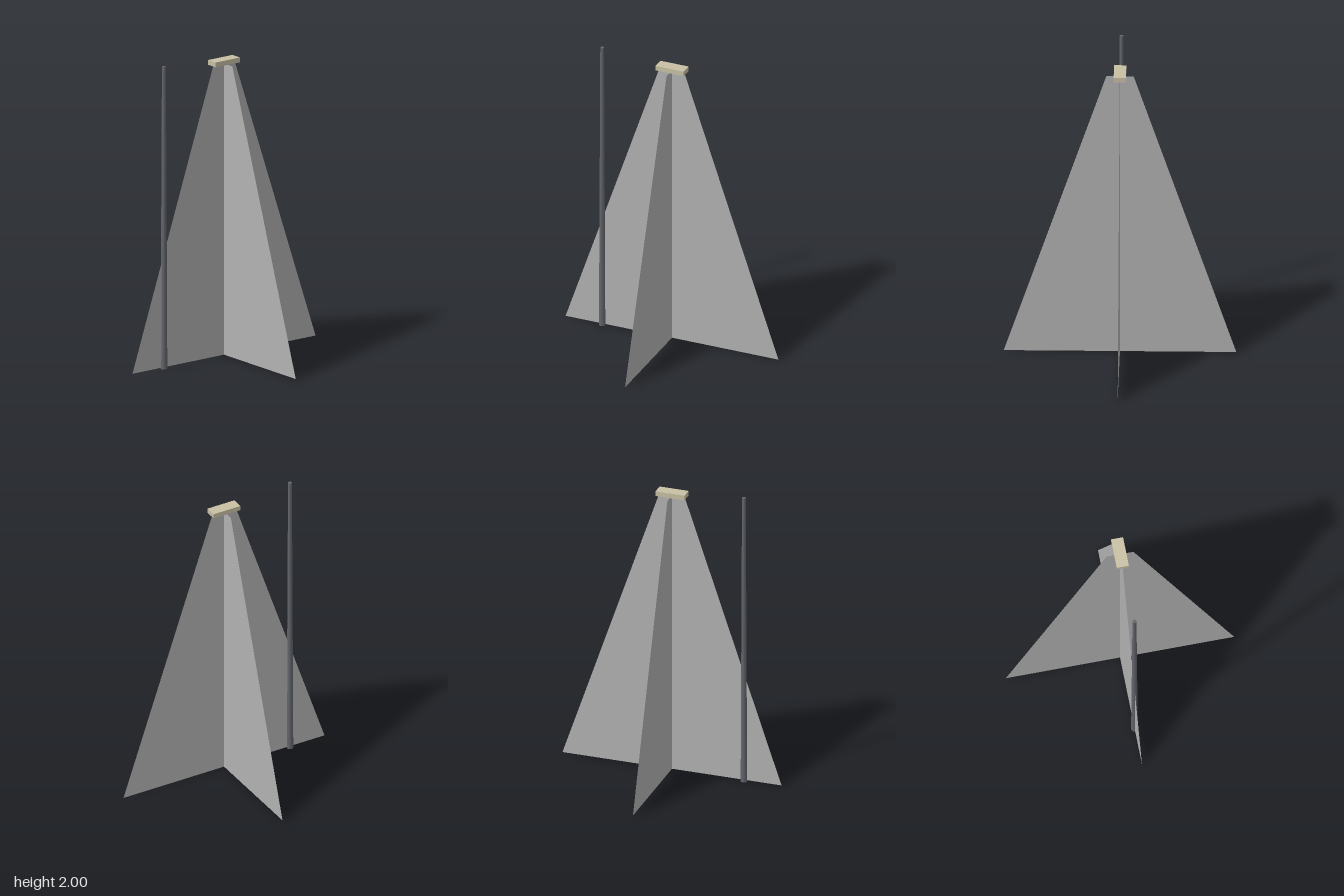
import * as THREE from 'three';

export function createModel() {
  const group = new THREE.Group();
  const sheetGrey = new THREE.MeshStandardMaterial({ color: 0xb2b2b2, side: THREE.DoubleSide });
  sheetGrey.name = 'sheetGrey';
  const capBeige = new THREE.MeshStandardMaterial({ color: 0xc8c0a4 });
  capBeige.name = 'capBeige';
  const poleGrey = new THREE.MeshStandardMaterial({ color: 0x62656c });
  poleGrey.name = 'poleGrey';

  const add = (name, geometry, material, x, y, z) => {
    const mesh = new THREE.Mesh(geometry, material);
    mesh.name = name;
    mesh.position.set(x, y, z);
    group.add(mesh);
    return mesh;
  };

  // Two upright tapered sheets crossing on the centre axis
  const outline = new THREE.Shape([
    new THREE.Vector2(-0.742, 0.01),
    new THREE.Vector2(0.742, 0.01),
    new THREE.Vector2(0.087, 1.937),
    new THREE.Vector2(-0.087, 1.937),
  ]);
  const sheet = new THREE.ShapeGeometry(outline);
  add('wideSheet', sheet, sheetGrey, 0, 0, 0);
  add('crossSheet', sheet, sheetGrey, 0, 0, 0).rotation.y = Math.PI / 2;

  // Flat block on the peak
  add('topCap', new THREE.BoxGeometry(0.197, 0.032, 0.078), capBeige, 0, 1.953, 0);

  // Slender tapered pole on the right side
  add('pole', new THREE.CylinderGeometry(0.013, 0.022, 2, 8), poleGrey, -0.487, 1, 0);

  return group;
}
